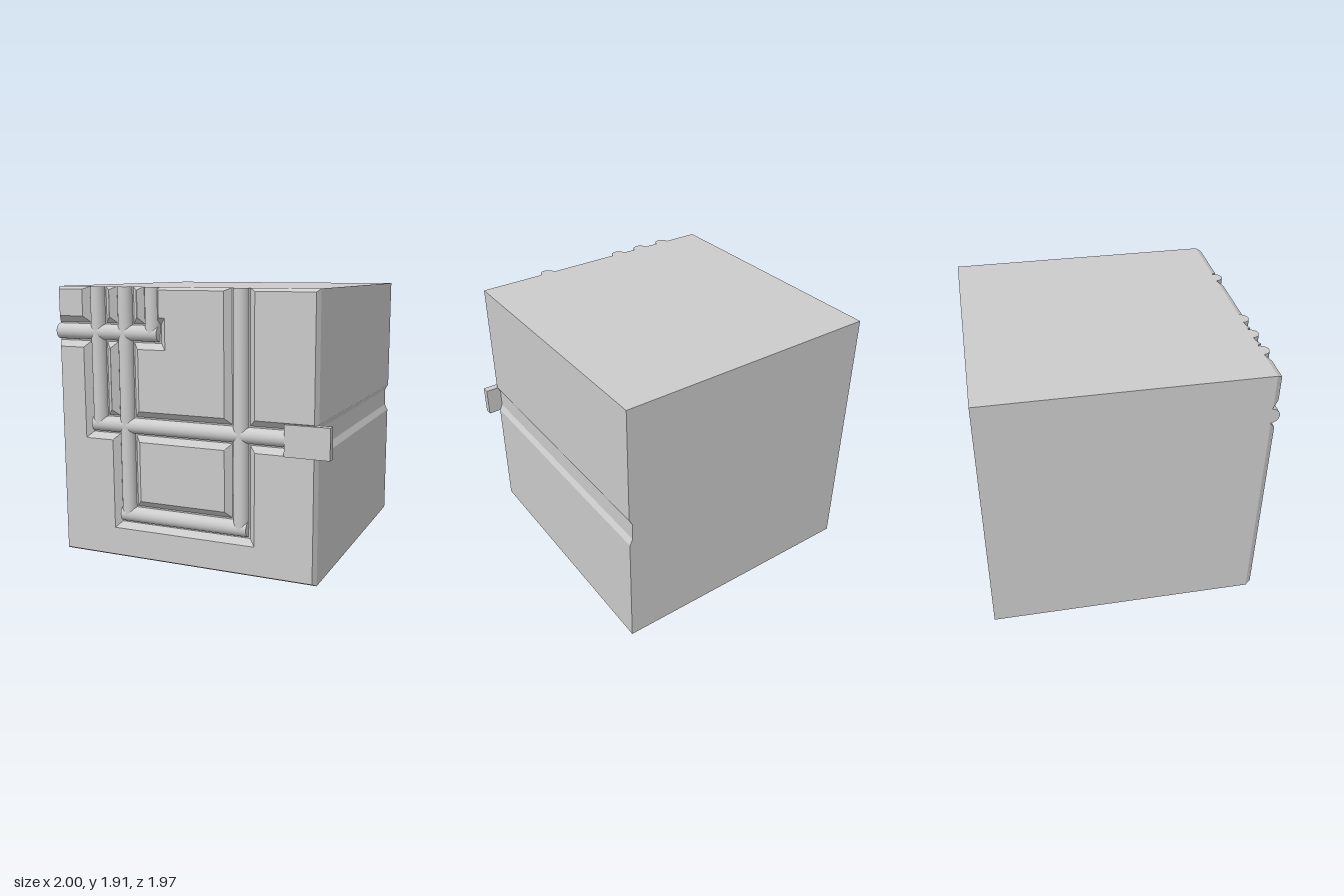
import * as THREE from 'three';

const LEFT = -1, RIGHT = 0.91, TOP = 1.91, BACK = -0.985;
const FLOOR = 0.93, FACE = 0.967;   // groove floor and raised front face
const R = 0.054, HALF = 0.107, SLOPE = 0.043, BEVEL = 0.02;

// Pipe runs: position of the axis, then start and end along it
const verticals = [[-0.685, 0.96, TOP], [-0.47, 0.325, TOP], [-0.26, 1.6, TOP], [0.38, 0.325, TOP]];
const horizontals = [[1.6, LEFT, -0.21], [0.96, -0.735, 0.72], [0.325, -0.52, 0.433]];

// Sloped grooves around the pipes: [x0, x1, y0, y1], running past open edges
const grooves = [
  [-0.792, -0.578, 0.855, 2.2],
  [-0.577, -0.363, 0.218, 2.2],
  [-0.367, -0.2, 1.493, 2.2],
  [0.273, 0.487, 0.218, 2.2],
  [-1.3, -0.155, 1.6 - HALF, 1.6 + HALF],
  [-0.792, 1.3, 0.96 - HALF, 0.96 + HALF],
  [-0.577, 0.487, 0.325 - HALF, 0.325 + HALF],
];

const clamp01 = (v) => Math.min(1, Math.max(0, v));

// Height of the front face: bevelled at the rim, lowered in the grooves
function faceZ(x, y) {
  let t = clamp01(Math.min(x - LEFT, RIGHT - x, y, TOP - y) / BEVEL);
  for (const [x0, x1, y0, y1] of grooves) {
    t = Math.min(t, 1 - clamp01(Math.min(x - x0, x1 - x, y - y0, y1 - y) / SLOPE));
  }
  return FLOOR + (FACE - FLOOR) * t;
}

// Grid lines at every break of slope
function gridLines(lo, hi, pairs) {
  const all = [lo, lo + BEVEL, hi - BEVEL, hi];
  for (const [a, b] of pairs) all.push(a, a + SLOPE, b - SLOPE, b);
  return all.filter((v) => v >= lo && v <= hi).sort((a, b) => a - b)
    .filter((v, i, s) => i === 0 || v - s[i - 1] > 1e-5);
}

function facePanels() {
  const xs = gridLines(LEFT, RIGHT, grooves.map((g) => [g[0], g[1]]));
  const ys = gridLines(0, TOP, grooves.map((g) => [g[2], g[3]]));
  const pos = [];
  for (let i = 0; i < xs.length - 1; i++) {
    for (let j = 0; j < ys.length - 1; j++) {
      const corner = (x, y) => [x, y, faceZ(x, y)];
      const a = corner(xs[i], ys[j]), b = corner(xs[i + 1], ys[j]);
      const c = corner(xs[i + 1], ys[j + 1]), d = corner(xs[i], ys[j + 1]);
      const mid = faceZ((a[0] + c[0]) / 2, (a[1] + c[1]) / 2);
      // The body itself closes the groove floors
      if (Math.max(a[2], b[2], c[2], d[2], mid) < FLOOR + 1e-5) continue;
      // Split along the diagonal that follows the mitre
      const ac = Math.abs((a[2] + c[2]) / 2 - mid), bd = Math.abs((b[2] + d[2]) / 2 - mid);
      const tris = ac <= bd ? [a, b, c, a, c, d] : [a, b, d, b, c, d];
      tris.forEach((p) => pos.push(...p));
    }
  }
  const g = new THREE.BufferGeometry();
  g.setAttribute('position', new THREE.Float32BufferAttribute(pos, 3));
  g.computeVertexNormals();
  return g;
}

// Block with the shallow channel along its side
function bodyGeometry() {
  const s = new THREE.Shape([
    [LEFT, 0], [RIGHT, 0], [RIGHT, 0.853], [RIGHT - 0.023, 0.896],
    [RIGHT - 0.023, 1.024], [RIGHT, 1.067], [RIGHT, TOP], [LEFT, TOP],
  ].map(([x, y]) => new THREE.Vector2(x, y)));
  const g = new THREE.ExtrudeGeometry(s, { depth: FLOOR - BACK, bevelEnabled: false });
  return g.translate(0, 0, BACK);
}

// Half-round pipe with its flat side on the groove floor
function pipe(length) {
  return new THREE.CylinderGeometry(R, R, length, 20, 1, false, -Math.PI / 2, Math.PI);
}

export function createModel() {
  const group = new THREE.Group();
  const material = new THREE.MeshStandardMaterial({ color: 0xcccccc });
  const thin = new THREE.MeshStandardMaterial({ color: 0xcccccc, side: THREE.DoubleSide });
  const add = (name, geometry, mat = material) => {
    const mesh = new THREE.Mesh(geometry, mat);
    mesh.name = name;
    group.add(mesh);
    return mesh;
  };

  add('body', bodyGeometry());
  add('frontPanels', facePanels(), thin);

  verticals.forEach(([x, y0, y1], i) => {
    add(`verticalPipe${i + 1}`, pipe(y1 - y0)).position.set(x, (y0 + y1) / 2, FLOOR);
  });
  horizontals.forEach(([y, x0, x1], i) => {
    const g = pipe(x1 - x0).rotateZ(Math.PI / 2);
    add(`horizontalPipe${i + 1}`, g).position.set((x0 + x1) / 2, y, FLOOR);
  });

  // Clamp plate where the middle pipe leaves the block
  add('clampPlate', new THREE.BoxGeometry(0.305, 0.21, 0.055)).position.set(0.8475, 0.957, 0.9575);
  return group;
}
